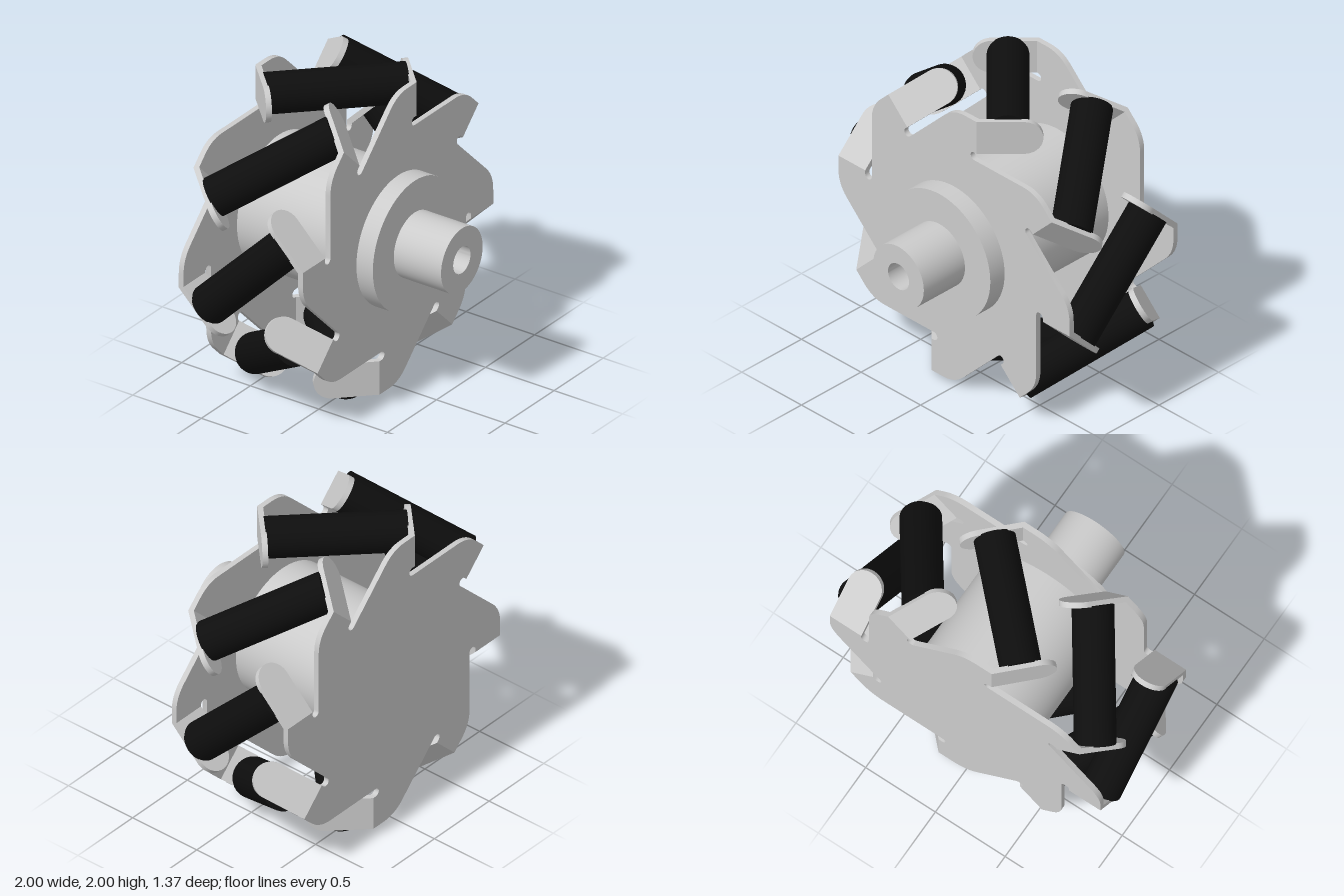
import * as THREE from 'three';
import { toCreasedNormals } from 'three/addons/utils/BufferGeometryUtils.js';

const COUNT = 8, STEP = Math.PI * 2 / COUNT;
const OUTER = 0.97, INNER = 0.69;        // distance of tab edge and slot edge from the axle
const SLOT_TOP = 0.745, BEND = 0.19;     // lower edge of each flap, and its fold line
const THICK = 0.035, HALF_WIDTH = 0.453; // sheet thickness, half distance over both plates
const MID_Z = -0.233;

const grey = new THREE.MeshStandardMaterial({ color: 0xcccccc });
const black = new THREE.MeshStandardMaterial({ color: 0x0e0e0e });

function part(name, geometry, material, parent) {
  const mesh = new THREE.Mesh(geometry, material);
  mesh.name = name;
  parent.add(mesh);
  return mesh;
}

// Pinwheel outline: one tab with rounded corner and slot, repeated clockwise
function plateGeometry() {
  const pts = [];
  const cornerX = OUTER - INNER * Math.SQRT2;
  const r = (SLOT_TOP - INNER) / 2, t = 0.1;
  const corner = new THREE.Vector2(cornerX, OUTER);
  const round = new THREE.QuadraticBezierCurve(
    new THREE.Vector2(cornerX - t * Math.SQRT1_2, OUTER - t * Math.SQRT1_2),
    corner, new THREE.Vector2(cornerX + t, OUTER));
  const tab = [...round.getPoints(8), new THREE.Vector2(BEND, OUTER), new THREE.Vector2(BEND, SLOT_TOP)];
  for (let i = 0; i <= 8; i++) {
    const a = Math.PI / 2 + Math.PI * i / 8;
    tab.push(new THREE.Vector2(0.167 + r * Math.cos(a), INNER + r + r * Math.sin(a)));
  }
  const origin = new THREE.Vector2();
  for (let k = 0; k < COUNT; k++) {
    for (const p of tab) pts.push(p.clone().rotateAround(origin, -k * STEP));
  }
  const geo = new THREE.ExtrudeGeometry(new THREE.Shape(pts), { depth: THICK, bevelEnabled: false });
  geo.translate(0, 0, HALF_WIDTH - THICK);
  return toCreasedNormals(geo, 0.4);
}

// Round-ended flap folded 45 degrees inwards
function flapGeometry() {
  const r = (OUTER - SLOT_TOP) / 2, length = 0.396;
  const shape = new THREE.Shape();
  shape.moveTo(0, SLOT_TOP);
  shape.lineTo(length - r, SLOT_TOP);
  shape.absarc(length - r, SLOT_TOP + r, r, -Math.PI / 2, Math.PI / 2, false);
  shape.lineTo(0, OUTER);
  const geo = new THREE.ExtrudeGeometry(shape, { depth: THICK, bevelEnabled: false, curveSegments: 20 });
  geo.translate(0, 0, -THICK).rotateY(Math.PI / 4).translate(BEND, 0, HALF_WIDTH);
  return toCreasedNormals(geo, 0.4);
}

export function createModel() {
  const model = new THREE.Group();
  model.name = 'rollerWheel';

  const wheel = new THREE.Group();
  wheel.name = 'wheel';
  wheel.position.set(0, 1, MID_Z);
  model.add(wheel);

  // Two identical side plates, the back one turned half round
  const plateGeo = plateGeometry(), flapGeo = flapGeometry();
  for (const [name, turn] of [['frontPlate', 0], ['backPlate', Math.PI]]) {
    const side = new THREE.Group();
    side.name = name;
    side.rotation.y = turn;
    wheel.add(side);
    part('plateSheet', plateGeo, grey, side);
    for (let k = 0; k < COUNT; k++) {
      part('flap', flapGeo, grey, side).rotation.z = -k * STEP;
    }
  }

  // Rollers set at 45 degrees between opposite flaps
  const rollerGeo = new THREE.CylinderGeometry(0.127, 0.127, 0.85, 40);
  rollerGeo.rotateZ(Math.PI / 2).rotateY(-Math.PI / 4).translate(0, 0.873, 0);
  for (let k = 0; k < COUNT; k++) {
    part('roller', rollerGeo, black, wheel).rotation.z = k * STEP;
  }

  // Hub with stepped shaft and blind bore
  const profile = [[0, -0.66], [0.425, -0.66], [0.425, 0.34], [0.212, 0.34],
    [0.212, 0.685], [0.088, 0.685], [0.088, 0.34], [0, 0.34]]
    .map(([x, y]) => new THREE.Vector2(x, y));
  const hubGeo = new THREE.LatheGeometry(profile, 72).rotateX(Math.PI / 2);
  part('hub', toCreasedNormals(hubGeo, 0.5), grey, model).position.y = 1;

  return model;
}
